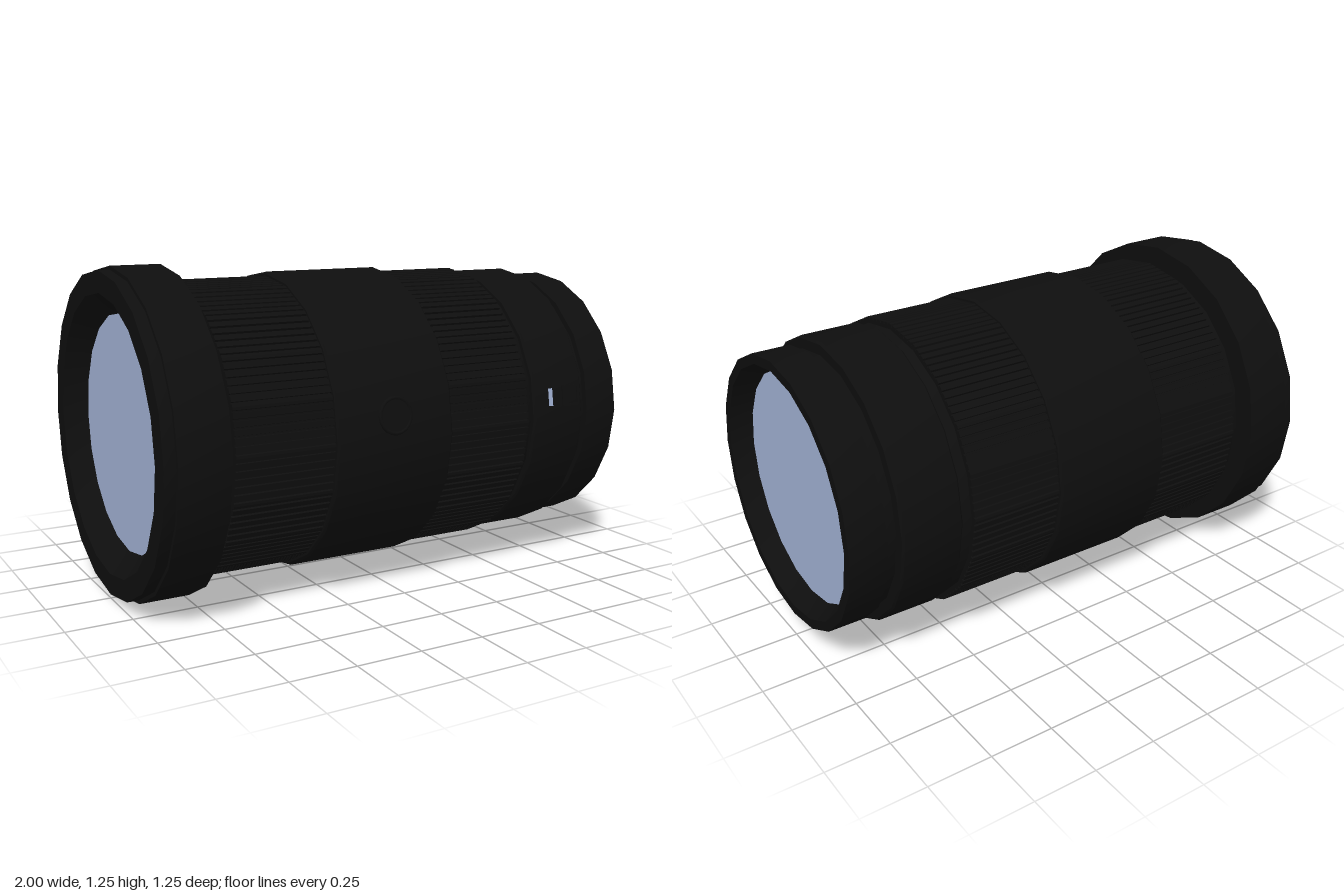
import * as THREE from 'three';
import { toCreasedNormals } from 'three/addons/utils/BufferGeometryUtils.js';

const SIDES = 20;
const AXIS_Y = 0.626;
const STEP = (Math.PI * 2) / SIDES;

export function createModel() {
  const black = new THREE.MeshStandardMaterial({ color: 0x0e0e0e });
  black.name = 'black body';
  const blue = new THREE.MeshStandardMaterial({ color: 0xa0b0d2 });
  blue.name = 'pale blue glass';

  const model = new THREE.Group();
  model.name = 'cameraLens';
  const barrel = new THREE.Group();
  barrel.name = 'barrel';
  barrel.position.y = AXIS_Y;
  model.add(barrel);

  function add(parent, name, geometry, material) {
    const mesh = new THREE.Mesh(geometry, material);
    mesh.name = name;
    parent.add(mesh);
    return mesh;
  }

  // Turned ring around the x axis; profile is a list of [x, radius]
  function turned(name, profile) {
    const geo = new THREE.LatheGeometry(profile.map(([x, r]) => new THREE.Vector2(r, x)), SIDES);
    geo.rotateZ(-Math.PI / 2);
    add(barrel, name, toCreasedNormals(geo, Math.PI / 6), black);
  }

  // Plain band with small chamfers
  function band(name, x0, x1, r, c = 0.008) {
    turned(name, [[x0, 0.49], [x0, r - c], [x0 + c, r], [x1 - c, r], [x1, r - c], [x1, 0.49]]);
  }

  // Ribbed grip: a polygon with shallow grooves cut into every side
  function grip(name, x0, x1, r) {
    const ribs = 6, depth = 0.009, pts = [];
    for (let i = 0; i < SIDES; i++) {
      const corner = (k) => new THREE.Vector2(Math.cos(k * STEP), Math.sin(k * STEP));
      const a = corner(i), b = corner(i + 1);
      const at = (t, radius) => pts.push(a.clone().lerp(b, t).multiplyScalar(radius));
      at(0, r);
      for (let j = 0; j < ribs; j++) {
        at((j + 0.35) / ribs, r);
        at((j + 0.4) / ribs, r - depth);
        at((j + 0.6) / ribs, r - depth);
        at((j + 0.65) / ribs, r);
      }
    }
    const geo = new THREE.ExtrudeGeometry(new THREE.Shape(pts), { depth: x1 - x0, bevelEnabled: false });
    geo.rotateY(Math.PI / 2).translate(x0, 0, 0);
    add(barrel, name, geo, black);
  }

  // Wide front hood with its recessed funnel
  turned('hood', [[-0.92, 0.453], [-1, 0.53], [-1, 0.612], [-0.955, 0.612], [-0.955, 0.626],
    [-0.762, 0.626], [-0.762, 0.5]]);
  turned('hoodNeck', [[-0.78, 0.537], [-0.71, 0.537]]);

  // Grips either side of the smooth middle band
  grip('frontGrip', -0.722, -0.33, 0.566);
  band('middleBand', -0.335, 0.157, 0.582);
  grip('rearGrip', 0.15, 0.525, 0.566);

  // Rear sections
  turned('taperedNeck', [[0.515, 0.545], [0.57, 0.528]]);
  band('switchBand', 0.565, 0.808, 0.553);
  turned('rearNeck', [[0.8, 0.505], [0.86, 0.505]]);
  turned('rearMount', [[0.852, 0.49], [0.852, 0.528], [1, 0.528], [1, 0.49], [0.92, 0.453]]);

  // Glass at both ends
  for (const [name, side] of [['frontGlass', -1], ['rearGlass', 1]]) {
    const glass = add(barrel, name, new THREE.CircleGeometry(0.453, SIDES), blue);
    glass.rotation.y = (side * Math.PI) / 2;
    glass.position.x = side * 0.92;
  }

  // Group lying on the flat side just above the middle of the front
  function onSide(name, x, radius) {
    const group = new THREE.Group();
    const tilt = STEP / 2, apothem = radius * Math.cos(tilt);
    group.name = name;
    group.position.set(x, apothem * Math.sin(tilt), apothem * Math.cos(tilt));
    group.rotation.x = -tilt;
    barrel.add(group);
    return group;
  }

  // Round button: raised rim around a low disc
  const button = onSide('button', -0.09, 0.582);
  add(button, 'buttonRim', new THREE.TorusGeometry(0.065, 0.008, 6, 20), black);
  const disc = add(button, 'buttonDisc', new THREE.CylinderGeometry(0.06, 0.06, 0.008, 20), black);
  disc.rotation.x = Math.PI / 2;

  // Sliding switch: pale mark beside a square frame
  const slider = onSide('slider', 0.7, 0.553);
  const box = (name, w, h, d, x, y, material) =>
    add(slider, name, new THREE.BoxGeometry(w, h, d), material).position.set(x, y, 0);
  box('sliderMark', 0.018, 0.07, 0.006, -0.05, 0, blue);
  for (const s of [-1, 1]) {
    box('sliderFrameEnd', 0.008, 0.08, 0.008, 0.05 + s * 0.037, 0, black);
    box('sliderFrameEdge', 0.08, 0.008, 0.008, 0.05, s * 0.037, black);
  }

  return model;
}
